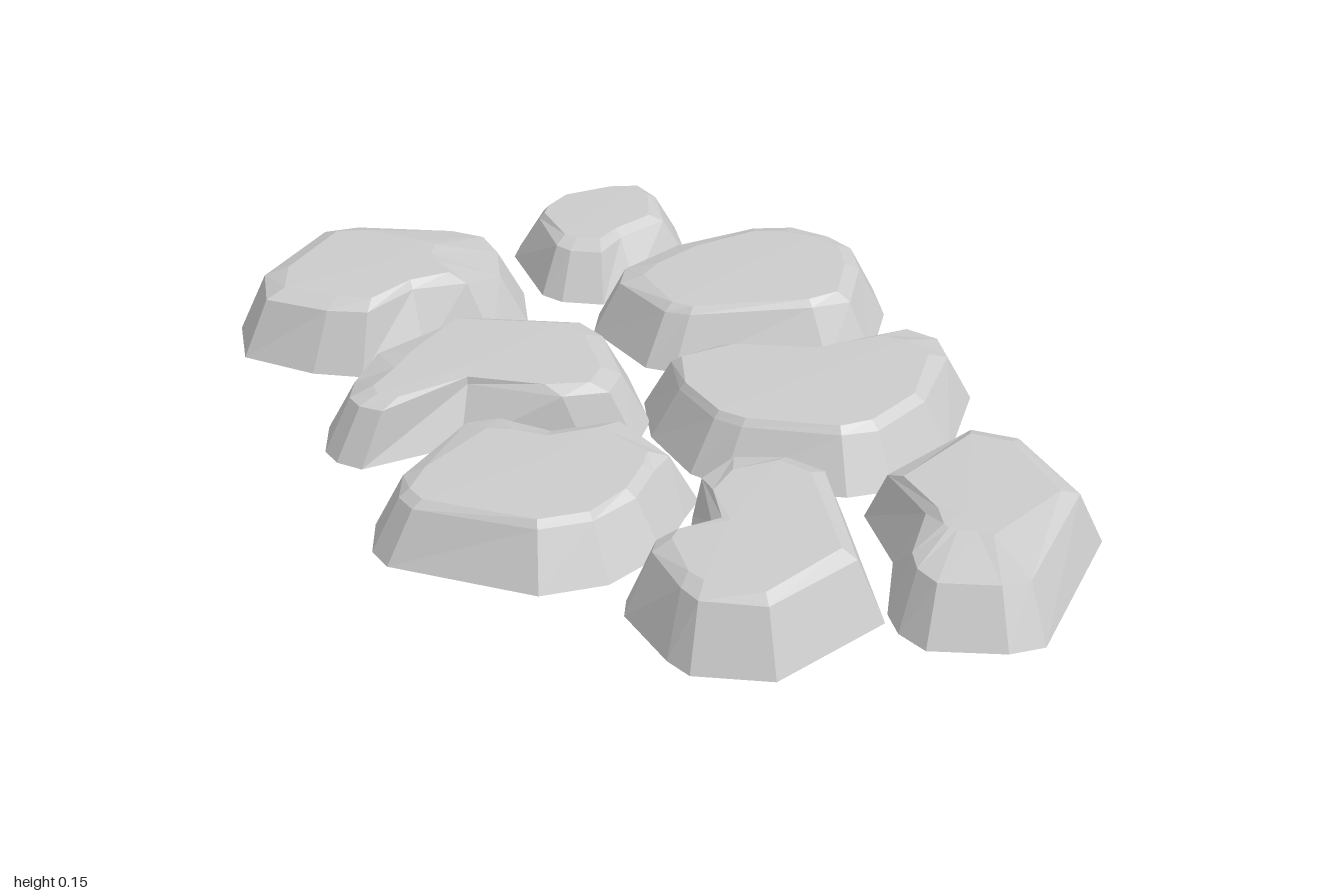
import * as THREE from 'three';

// Each stone: height and base outline as [x, z, inset of the top edge].
// A large inset makes a lower, gently sloping ledge on that side.
const STONES = {
  backLeftStone: { h: 0.152, rim: [
    [-.54, -.86, .11], [-.30, -1, .1], [-.21, -.98, .11], [.01, -.84, .17], [.06, -.76, .19], [.05, -.66, .21],
    [-.01, -.54, .19], [-.11, -.52, .1], [-.26, -.55, .07], [-.42, -.53, .09], [-.50, -.60, .1], [-.59, -.74, .1]] },
  backRightStone: { h: 0.122, rim: [
    [.08, -.63, .09], [.12, -.82, .07], [.16, -.86, .07], [.26, -.89, .06], [.42, -.86, .07], [.49, -.83, .09],
    [.50, -.74, .08], [.44, -.59, .09], [.27, -.55, .08], [.17, -.52, .1], [.10, -.58, .1]] },
  middleLeftStone: { h: 0.138, rim: [
    [-.62, -.31, .11], [-.57, -.39, .14], [-.47, -.47, .13], [-.22, -.51, .07], [-.14, -.48, .09], [.04, -.32, .1],
    [.05, -.23, .1], [-.01, -.05, .1], [-.08, .01, .1], [-.18, -.02, .1], [-.38, -.18, .06], [-.59, -.21, .1],
    [-.62, -.26, .1]] },
  middleRightStone: { h: 0.138, rim: [
    [.09, -.43, .11], [.14, -.49, .13], [.32, -.54, .11], [.56, -.51, .1], [.65, -.45, .11], [.70, -.35, .1],
    [.71, -.26, .09], [.66, -.15, .09], [.53, -.02, .09], [.43, -.04, .07], [.14, -.19, .07], [.10, -.24, .08]] },
  innerLeftStone: { h: 0.136, rim: [
    [-.71, .06, .08], [-.66, -.02, .1], [-.42, -.15, .12], [-.34, -.13, .13], [-.25, -.02, .1], [-.10, .05, .12],
    [-.09, .25, .1], [-.15, .29, .08], [-.25, .37, .08], [-.39, .40, .07], [-.52, .36, .07], [-.71, .12, .08]] },
  innerRightStone: { h: 0.134, rim: [
    [-.05, .16, .07], [-.04, 0, .07], [.02, -.12, .08], [.16, -.13, .09], [.38, 0, .08], [.61, .05, .15],
    [.64, .13, .14], [.60, .23, .1], [.43, .38, .08], [.25, .43, .08], [.16, .40, .07], [-.02, .23, .07]] },
  frontLeftStone: { h: 0.152, rim: [
    [-.42, .50, .1], [-.39, .46, .1], [-.24, .43, .08], [-.13, .29, .13], [-.02, .27, .13], [.08, .34, .1],
    [.12, .44, .1], [-.03, .78, .09], [-.30, .82, .08], [-.42, .72, .1], [-.43, .66, .09]] },
  frontRightStone: { h: 0.15, rim: [
    [-.03, .82, .17], [-.01, .76, .14], [.10, .63, .08], [.15, .47, .1], [.43, .44, .1], [.50, .53, .1],
    [.48, .79, .1], [.17, 1, .18], [.10, .98, .2], [-.02, .89, .2]] },
};

// Builds a closed stone from base, shoulder and top-edge rings.
function stoneGeometry({ h, rim }) {
  const n = rim.length;
  const cx = rim.reduce((s, p) => s + p[0], 0) / n;
  const cz = rim.reduce((s, p) => s + p[1], 0) / n;
  const ring = (y, inset) => rim.map((p) => {
    const d = inset(p) / Math.hypot(cx - p[0], cz - p[1]);
    return [p[0] + (cx - p[0]) * d, y(p), p[1] + (cz - p[1]) * d];
  });
  const rings = [
    ring(() => 0.008, () => 0),
    ring((p) => h * (p[2] > 0.13 ? 0.8 : 0.87), () => 0.058),
    ring(() => h - 0.002, (p) => p[2]),
  ];
  const under = [cx, 0, cz], crown = [cx, h, cz];
  const pos = [];
  const tri = (...corners) => corners.forEach((c) => pos.push(...c));
  for (let i = 0; i < n; i++) {
    const j = (i + 1) % n;
    for (let k = 0; k < 2; k++) {
      const lo = rings[k], up = rings[k + 1];
      tri(lo[j], lo[i], up[i]);
      tri(lo[j], up[i], up[j]);
    }
    tri(under, rings[0][i], rings[0][j]);
    tri(crown, rings[2][j], rings[2][i]);
  }
  const geometry = new THREE.BufferGeometry();
  geometry.setAttribute('position', new THREE.Float32BufferAttribute(pos, 3));
  geometry.computeVertexNormals();
  return geometry;
}

export function createModel() {
  const group = new THREE.Group();
  group.name = 'steppingStones';
  const material = new THREE.MeshStandardMaterial({ color: 0xcccccc, flatShading: true });
  for (const [name, stone] of Object.entries(STONES)) {
    const mesh = new THREE.Mesh(stoneGeometry(stone), material);
    mesh.name = name;
    group.add(mesh);
  }
  return group;
}
